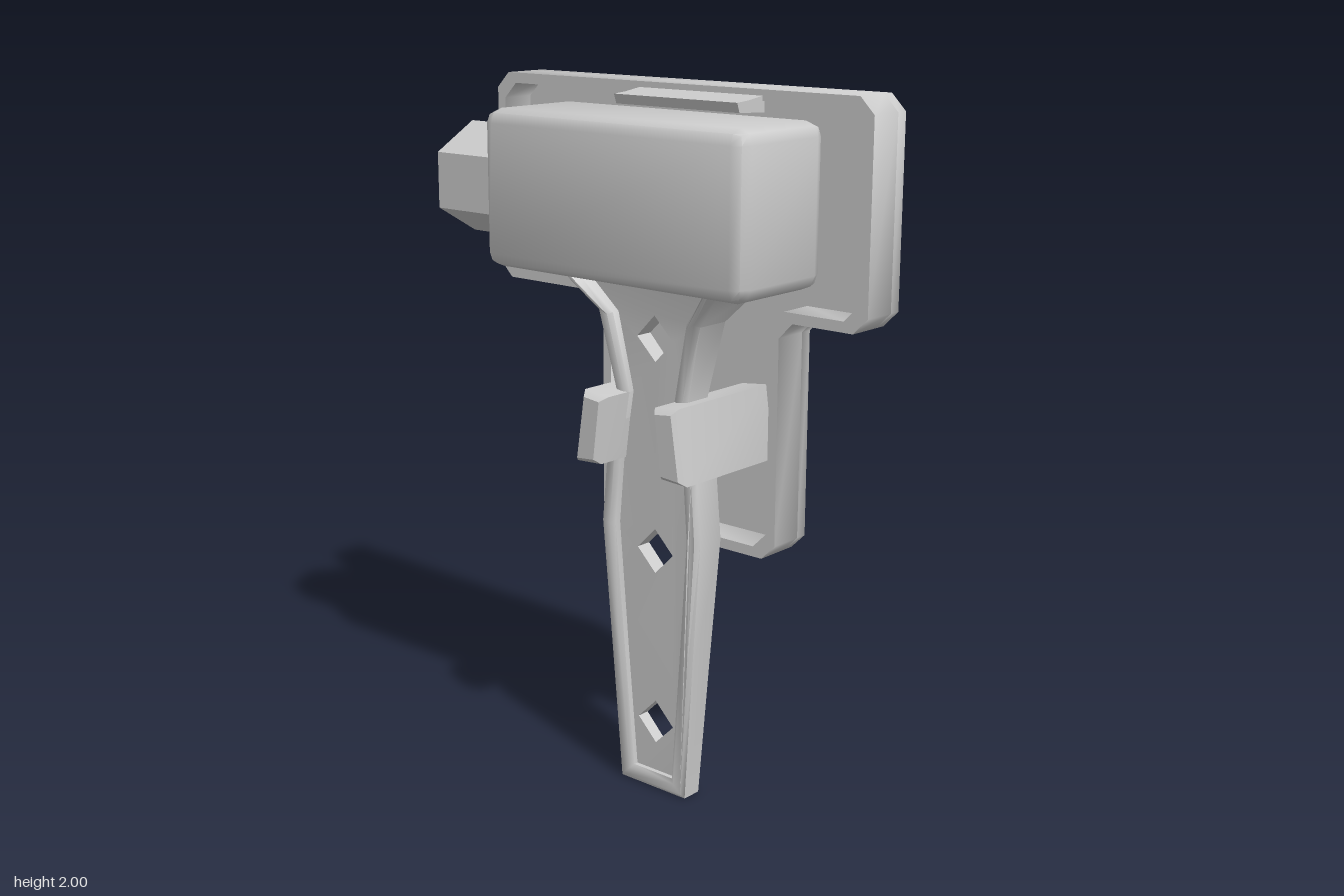
import * as THREE from 'three';
import { toCreasedNormals } from 'three/addons/utils/BufferGeometryUtils.js';
import { RoundedBoxGeometry } from 'three/addons/geometries/RoundedBoxGeometry.js';

const AXIS_X = 0.14; // centre line of handle and clips
const MID_Z = 0.055; // depth centre of the hammer
const material = new THREE.MeshStandardMaterial({ color: 0xcccccc });

function add(parent, name, geometry, crease = 0.9) {
  const mesh = new THREE.Mesh(toCreasedNormals(geometry, crease), material);
  mesh.name = name;
  parent.add(mesh);
  return mesh;
}

const toVectors = (pts) => pts.map(([x, y]) => new THREE.Vector2(x, y));

// Cuts every corner of a polygon back by c
function chamfer(pts, c) {
  const v = toVectors(pts);
  return v.flatMap((p, i) => {
    const prev = v[(i + v.length - 1) % v.length], next = v[(i + 1) % v.length];
    return [prev, next].map((q) => p.clone().add(q.clone().sub(p).setLength(c)));
  });
}

// T-shaped tray outline, inset by d
function trayOutline(d) {
  return chamfer([
    [-0.21 + d, 0.71 + d], [0.43 - d, 0.71 + d], [0.43 - d, 1.39 + d], [0.715 - d, 1.39 + d],
    [0.715 - d, 2 - d], [-0.63 + d, 2 - d], [-0.63 + d, 1.39 + d], [-0.21 + d, 1.39 + d],
  ], 0.045);
}

// Handle stations: height, half width, half thickness
const stations = [
  [0, 0.12, 0.038], [0.4, 0.15, 0.047], [0.78, 0.18, 0.055], [0.96, 0.165, 0.053],
  [1.17, 0.13, 0.05], [1.39, 0.18, 0.065], [1.49, 0.27, 0.115], [1.54, 0.31, 0.13],
];

function halfThickness(y) {
  for (let i = 1; i < stations.length; i++) {
    const [y0, , t0] = stations[i - 1], [y1, , t1] = stations[i];
    if (y <= y1) return THREE.MathUtils.mapLinear(y, y0, y1, t0, t1);
  }
  return 0.13;
}

// Symmetric handle outline, inset by d
function handleOutline(d) {
  const side = stations.map(([y, w], i) => [w - d, i === 0 ? d : i === stations.length - 1 ? y - d * 0.3 : y]);
  return toVectors([
    ...side.map(([w, y]) => [AXIS_X + w, y]),
    ...side.slice().reverse().map(([w, y]) => [AXIS_X - w, y]),
  ]);
}

// Spreads a -1..1 depth to the local handle thickness
function thicken(geometry, ratio) {
  const p = geometry.attributes.position;
  for (let i = 0; i < p.count; i++) {
    p.setZ(i, MID_Z + p.getZ(i) * ratio * halfThickness(p.getY(i)));
  }
  geometry.computeVertexNormals();
  return geometry;
}

function buildTray() {
  const tray = new THREE.Group();
  tray.name = 'tray';
  const floor = new THREE.ExtrudeGeometry(new THREE.Shape(trayOutline(0)), { depth: 0.035, bevelEnabled: false });
  add(tray, 'trayFloor', floor.translate(0, 0, -0.23));

  const wall = new THREE.Shape(trayOutline(0));
  wall.holes.push(new THREE.Path(trayOutline(0.03)));
  const rim = new THREE.ExtrudeGeometry(wall, { depth: 0.105, bevelEnabled: false });
  add(tray, 'trayRim', rim.translate(0, 0, -0.195));

  // Tapered lip over the head, profile drawn in depth and height
  const lip = new THREE.Shape(toVectors([[0.1, 1.94], [0.1, 1.985], [0.03, 1.975], [-0.015, 1.972], [-0.005, 1.945]]));
  const lipGeo = new THREE.ExtrudeGeometry(lip, { depth: 0.43, bevelEnabled: false });
  lipGeo.rotateY(Math.PI / 2).translate(-0.07, 0, 0);
  add(tray, 'topLip', lipGeo);

  // Slanted clips gripping the handle
  for (const s of [-1, 1]) {
    let pts = [[0.2, 0.97], [0.17, 1.18], [0.085, 1.17], [0.11, 0.975]].map(([x, y]) => [AXIS_X + s * x, y]);
    if (s < 0) pts.reverse();
    const clip = new THREE.ExtrudeGeometry(new THREE.Shape(toVectors(pts)), {
      depth: 0.375, bevelThickness: 0.02, bevelSize: 0.015, bevelOffset: -0.015, bevelSegments: 1,
    });
    add(tray, s < 0 ? 'rightClip' : 'leftClip', clip.translate(0, 0, -0.195));
  }
  return tray;
}

function buildHammer() {
  const hammer = new THREE.Group();
  hammer.name = 'hammer';

  const head = new RoundedBoxGeometry(0.92, 0.44, 0.35, 1, 0.04);
  add(hammer, 'head', head.translate(0.09, 1.71, MID_Z));

  // Six-sided peen with a pointed tip
  const peen = new THREE.LatheGeometry(
    toVectors([[0, -0.35], [0.16, -0.35], [0.16, 0.59], [0, 0.72]].map(([r, h]) => [r, h < 0 ? 0.35 : h])), 6);
  peen.rotateZ(Math.PI / 2).rotateX(Math.PI / 2);
  peen.computeBoundingBox();
  // Turn the corners to the top and bottom
  if (peen.boundingBox.max.y < 0.15) peen.rotateX(Math.PI / 6);
  add(hammer, 'peen', peen.translate(0, 1.71, MID_Z), 0.7);

  const frame = new THREE.Shape(handleOutline(0));
  frame.holes.push(new THREE.Path(handleOutline(0.048)));
  const frameGeo = new THREE.ExtrudeGeometry(frame, {
    depth: 1.6, bevelThickness: 0.2, bevelSize: 0.012, bevelOffset: -0.012, bevelSegments: 1,
  });
  add(hammer, 'handleFrame', thicken(frameGeo.translate(0, 0, -0.8), 1));

  // Thin web with diamond openings
  const web = new THREE.Shape(handleOutline(0.025));
  for (const y of [0.2, 0.72, 1.33]) {
    const r = 0.065;
    web.holes.push(new THREE.Path(toVectors([[AXIS_X + r, y], [AXIS_X, y + r], [AXIS_X - r, y], [AXIS_X, y - r]])));
  }
  const webGeo = new THREE.ExtrudeGeometry(web, { depth: 2, bevelEnabled: false });
  add(hammer, 'handleWeb', thicken(webGeo.translate(0, 0, -1), 0.45));
  return hammer;
}

export function createModel() {
  const model = new THREE.Group();
  model.name = 'hammerInTray';
  model.add(buildTray(), buildHammer());
  return model;
}
